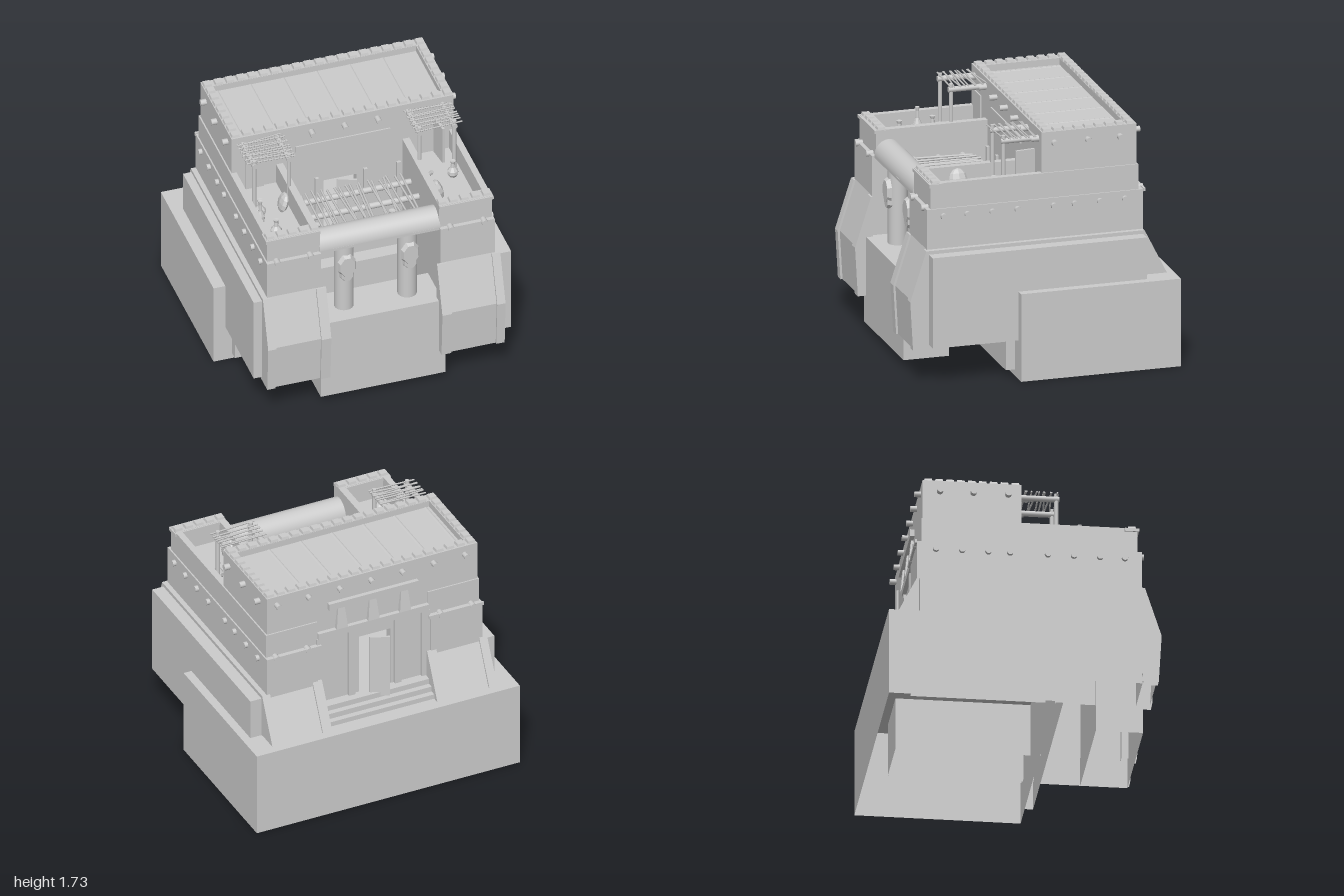
import * as THREE from 'three';

const grey = new THREE.MeshStandardMaterial({ color: 0xcccccc });
const facet = new THREE.MeshStandardMaterial({ color: 0xcccccc, flatShading: true });
const shell = new THREE.MeshStandardMaterial({ color: 0xcccccc, side: THREE.DoubleSide });

// Drops the faces that point straight down, leaving a hollow shell
function openBottom(geo) {
  const g = geo.index ? geo.toNonIndexed() : geo;
  const p = g.attributes.position, n = g.attributes.normal;
  const pos = [], nor = [];
  for (let i = 0; i < p.count; i++) {
    if (n.getY(i) < -0.99) continue;
    pos.push(p.getX(i), p.getY(i), p.getZ(i));
    nor.push(n.getX(i), n.getY(i), n.getZ(i));
  }
  return new THREE.BufferGeometry()
    .setAttribute('position', new THREE.Float32BufferAttribute(pos, 3))
    .setAttribute('normal', new THREE.Float32BufferAttribute(nor, 3));
}

export function createModel() {
  const root = new THREE.Group();
  let seed = 7;
  const rand = () => (seed = (seed * 16807) % 2147483647) / 2147483647 - 0.5;

  function add(name, geo, mat = grey) {
    const m = new THREE.Mesh(geo, mat);
    m.name = name;
    root.add(m);
    return m;
  }
  // Box from its min and max on each axis
  function box(name, x0, x1, y0, y1, z0, z1) {
    const m = add(name, new THREE.BoxGeometry(Math.abs(x1 - x0), y1 - y0, z1 - z0));
    m.position.set((x0 + x1) / 2, (y0 + y1) / 2, (z0 + z1) / 2);
    return m;
  }
  function hollowBox(...args) {
    const m = box(...args);
    m.geometry = openBottom(m.geometry);
    m.material = shell;
  }
  // Round pole between two points
  function pole(name, a, b, r, sides = 12) {
    const p = new THREE.Vector3(...a), q = new THREE.Vector3(...b);
    const m = add(name, new THREE.CylinderGeometry(r, r, p.distanceTo(q), sides));
    m.position.copy(p).add(q).multiplyScalar(0.5);
    m.quaternion.setFromUnitVectors(new THREE.Vector3(0, 1, 0), q.sub(p).normalize());
  }
  // Hollow side profile of [z, y] points extruded from x0 to x1
  function profile(name, pts, x0, x1) {
    const lo = Math.min(x0, x1), hi = Math.max(x0, x1);
    const shape = new THREE.Shape(pts.map(p => new THREE.Vector2(...p)));
    const g = new THREE.ExtrudeGeometry(shape, { depth: hi - lo, bevelEnabled: false });
    g.rotateY(-Math.PI / 2);
    g.translate(hi, 0, 0);
    add(name, openBottom(g), shell);
  }
  function merlon(x, y, z) {
    const g = new THREE.CylinderGeometry(0.035, 0.043, 0.022, 4);
    g.rotateY(Math.PI / 4);
    add('merlon', g, facet).position.set(x, y, z);
  }
  // Faceted jar of height h and radius r standing at the given base point
  function jar(x, y, z, h, r) {
    const pts = [[0, 0], [0.6, 0], [1, 0.2], [0.95, 0.38], [0.42, 0.6], [0.35, 0.85], [0.5, 1], [0, 0.98]]
      .map(p => new THREE.Vector2(p[0] * r, p[1] * h));
    add('jar', new THREE.LatheGeometry(pts, 8), facet).position.set(x, y, z);
  }
  function ball(name, x, y, z, sx, sy, sz) {
    const m = add(name, new THREE.SphereGeometry(1, 8, 6), facet);
    m.position.set(x, y, z);
    m.scale.set(sx, sy, sz);
    return m;
  }
  // Eight-sided upright disc facing the front
  function shield(x, y, z, rx, ry) {
    const g = new THREE.CylinderGeometry(0.8, 1, 0.03, 8);
    g.rotateY(Math.PI / 8);
    g.rotateX(Math.PI / 2);
    const m = add('columnShield', g, facet);
    m.position.set(x, y, z);
    m.scale.set(rx, ry, 1);
  }

  // Hollow foundations, with an open pit between them at the porch
  hollowBox('backBase', -1, 1, 0, 0.63, -0.945, 0.2);
  hollowBox('innerBase', -0.87, 0.87, 0.05, 0.63, 0.205, 0.27);
  box('porchBackStep', -0.43, 0.43, 0.63, 0.67, 0.1, 0.27);
  hollowBox('porchFrontBase', -0.45, 0.45, 0.05, 0.67, 0.545, 0.87);
  box('houseFloor', -0.43, 0.43, 0.635, 0.75, -0.7, 0.17);
  [0.67, 0.71, 0.75].forEach((y, i) =>
    box('backStep', -0.42, 0.42, 0.635, y, -0.84 + i * 0.04, -0.68));

  // Side towers, mirrored
  for (const s of [-1, 1]) {
    hollowBox('tower', s * 0.43, s * 0.82, 0.25, 1.24, -0.73, 0.82);
    hollowBox('sideWing', s * 0.825, s * (s > 0 ? 0.94 : 0.915), 0.28, 0.93, -0.72, 0.815);
    box('terraceFloor', s * 0.44, s * 0.8, 1.245, 1.265, -0.7, 0.78);
    box('outerParapet', s * 0.765, s * 0.81, 1.24, 1.42, -0.7, 0.79);
    box('innerParapet', s * 0.43, s * 0.48, 1.24, 1.42, -0.02, 0.79);
    box('frontParapet', s * 0.43, s * 0.81, 1.24, 1.42, 0.71, 0.79);
    box('frontCap', s * 0.43, s * 0.82, 1.395, 1.418, 0.7, 0.8);
    box('rearParapet', s * 0.42, s * 0.81, 1.24, 1.42, -0.7, -0.6);
    box('rearLedge', s * 0.41, s * 0.825, 1.225, 1.25, -0.745, -0.73);
    for (let i = 0; i < 5; i++) merlon(s * (0.46 + i * 0.08), 1.426, 0.75);

    // Sloping buttresses: a sunken panel between two raised rims
    const front = d => [[0.822, 0.25], [0.93 - d, 0.25], [0.95 - d, 0.6], [0.835 - d, 0.955], [0.822 - d, 0.955]];
    const back = d => [[-0.72, 0.635], [-0.72, 0.955], [-0.73 + d, 0.955], [-0.89 + d, 0.635]];
    for (const [x0, x1, d] of [[0.4, 0.47, 0], [0.47, 0.795, 0.015], [0.795, 0.855, 0]]) {
      profile('frontButtress', front(d), s * x0, s * x1);
      profile('rearButtress', back(d), s * x0, s * x1);
    }
    // Outer edge strips carry the rims along the tower sides
    hollowBox('outerRim', s * 0.82, s * 0.855, 0.25, 0.955, -0.73, 0.825);

    // Beam ends
    for (const z of [0.7, 0.53, 0.35, 0.17, -0.09, -0.24, -0.42, -0.6])
      pole('sideBeamEnd', [s * 0.815, 1.185, z], [s * 0.845, 1.185, z], 0.022);
    for (const z of [-0.1, -0.34, -0.57])
      pole('upperSideBeamEnd', [s * 0.78, 1.63, z], [s * 0.84, 1.63, z], 0.022);
    for (const x of [0.505, 0.745]) {
      pole('frontBeamEnd', [s * x, 1.235, 0.77], [s * x, 1.235, 0.84], 0.022);
      pole('rearBeamEnd', [s * x, 1.235, -0.69], [s * x, 1.235, -0.75], 0.022);
    }

    // Terrace pergola
    for (const x of [0.47, 0.72]) {
      pole('pergolaPost', [s * x, 1.26, 0.24], [s * x, 1.69, 0.24], 0.015);
      pole('pergolaBeam', [s * x, 1.65, -0.02], [s * x, 1.65, 0.26], 0.02);
    }
    for (let i = 0; i < 10; i++) {
      const z = 0.01 + i * 0.026;
      pole('pergolaSlat', [s * 0.43, 1.677, z + rand() * 0.05], [s * 0.775, 1.677, z + rand() * 0.05], 0.006, 5);
    }

    // Porch columns with shields
    const cx = s * 0.228;
    pole('column', [cx, 0.67, 0.7], [cx, 1.24, 0.7], 0.068, 20);
    shield(cx, 1.05, 0.775, 0.07, 0.1);
    shield(cx, 0.98, 0.768, 0.055, 0.065);
  }

  // Terrace doors
  box('terraceDoor', -0.7, -0.57, 1.26, 1.55, -0.02, 0.0);
  box('openTerraceDoor', 0.66, 0.68, 1.26, 1.555, 0, 0.14).rotation.y = 0.12;

  // Upper storey with parapet and merlons
  box('upperStorey', -0.8, 0.8, 1.24, 1.662, -0.69, -0.01);
  for (const s of [-1, 1]) box('upperSideWall', s * 0.73, s * 0.8, 1.6, 1.71, -0.69, -0.01);
  box('upperFrontWall', -0.8, 0.8, 1.6, 1.71, -0.08, -0.01);
  box('upperBackWall', -0.8, 0.8, 1.6, 1.71, -0.69, -0.62);
  for (let i = 0; i < 20; i++) {
    for (const z of [-0.65, -0.05]) merlon(-0.765 + i * 0.0805, 1.717, z);
  }
  for (let i = 1; i < 8; i++) {
    for (const s of [-1, 1]) merlon(s * 0.765, 1.717, -0.65 + i * 0.075);
  }
  for (let i = 0; i < 7; i++) {
    const x = -0.703 + i * 0.238;
    pole('roofBeam', [x, 1.645, -0.735], [x, 1.645, 0.045], 0.02);
  }
  box('frontPanel', -0.34, 0.34, 1.49, 1.54, -0.02, 0);

  // Front and back walls around the open doorway
  for (const [n, z0, z1] of [['front', -0.08, -0.01], ['back', -0.69, -0.63]]) {
    box(n + 'WallLeft', 0.1, 0.43, 0.7, 1.25, z0, z1);
    box(n + 'WallRight', -0.43, -0.14, 0.7, 1.25, z0, z1);
    box(n + 'WallTop', -0.14, 0.1, 1.2, 1.25, z0, z1);
  }
  for (const [x, w] of [[-0.4, 0.03], [-0.19, 0.025], [0.16, 0.025], [0.4, 0.03]]) {
    box('backDoorPost', x - w, x + w, 0.75, 1.28, -0.71, -0.67);
    box('frontDoorPost', x - w * 0.5, x + w * 0.5, 0.75, 1.24, -0.02, 0.01);
  }
  box('doorLintel', -0.42, 0.42, 1.28, 1.33, -0.72, -0.67);
  box('upperLintel', -0.34, 0.34, 1.5, 1.55, -0.72, -0.67);
  for (const x of [-0.24, 0, 0.24]) {
    const g = new THREE.CylinderGeometry(0.035, 0.06, 0.17, 4);
    g.rotateY(Math.PI / 4);
    add('lintelBracket', g, facet).position.set(x, 1.415, -0.68);
  }
  // Door leaves standing ajar
  for (const [name, x, y, z] of [['backDoor', -0.03, 0.96, -0.752], ['frontDoor', 0.01, 0.98, 0.05]]) {
    const door = box(name, -0.07, 0.07, 0.72, 1.2, -0.008, 0.008);
    door.position.set(x, y, z);
    door.rotation.y = -0.4;
  }

  // Porch: rounded front lintel, cross beams and loose roof poles
  const arch = add('porchLintel', new THREE.CylinderGeometry(0.1, 0.1, 0.87, 24, 1, false, 0, Math.PI));
  arch.rotation.z = Math.PI / 2;
  arch.scale.x = 1.1;
  arch.position.set(0, 1.24, 0.7);
  box('porchLintelBase', -0.43, 0.43, 1.225, 1.245, 0.6, 0.8);
  for (const z of [0.17, 0.345, 0.52]) pole('porchBeam', [-0.43, 1.185, z], [0.43, 1.185, z], 0.022);
  for (let i = 0; i < 19; i++) {
    const x = -0.35 + i * 0.04 + rand() * 0.03;
    pole('porchPole', [x, 1.21, 0.11 + rand() * 0.04], [x + rand() * 0.08, 1.21, 0.56 + rand() * 0.03], 0.008, 6);
  }

  // Hanging gourds and strings under the beams
  for (const [x, z, ys] of [[-0.345, 0.29, [0.94, 0.83]], [0.335, 0.46, [1.05, 0.95, 0.83]]]) {
    pole('hangingCord', [x, 0.7, z], [x, 1.19, z], 0.004, 6);
    ys.forEach(y => ball('gourd', x, y, z, 0.042, 0.055, 0.042));
    for (const d of [-0.02, 0, 0.02]) pole('hangingStalk', [x + d, 0.69, z], [x + d * 0.5, 0.82, z], 0.008, 5);
  }

  // Jars in the porch and on the terraces
  for (const [x, z, h] of [[-0.085, 0.08, 0.14], [-0.22, 0.1, 0.17], [-0.17, 0.06, 0.1], [-0.33, 0.12, 0.16], [0.32, 0.1, 0.16]])
    jar(x, 0.75, z, h, 0.3 * h);
  for (const [x, z, h, r] of [[-0.7, 0.3, 0.13, 0.042], [-0.73, 0.4, 0.195, 0.033], [-0.665, 0.55, 0.13, 0.042], [0.69, 0.3, 0.13, 0.04]])
    jar(x, 1.265, z, h, r);
  for (const [x, z] of [[-0.535, 0.31], [0.52, 0.5]])
    ball('basketTray', x, 1.34, z, 0.03, 0.075, 0.065).rotation.z = x > 0 ? 0.3 : -0.3;
  pole('tool', [0.52, 1.28, 0.26], [0.55, 1.32, 0.28], 0.015, 6);
  pole('tool', [0.49, 1.28, 0.41], [0.53, 1.3, 0.41], 0.015, 6);

  return root;
}
